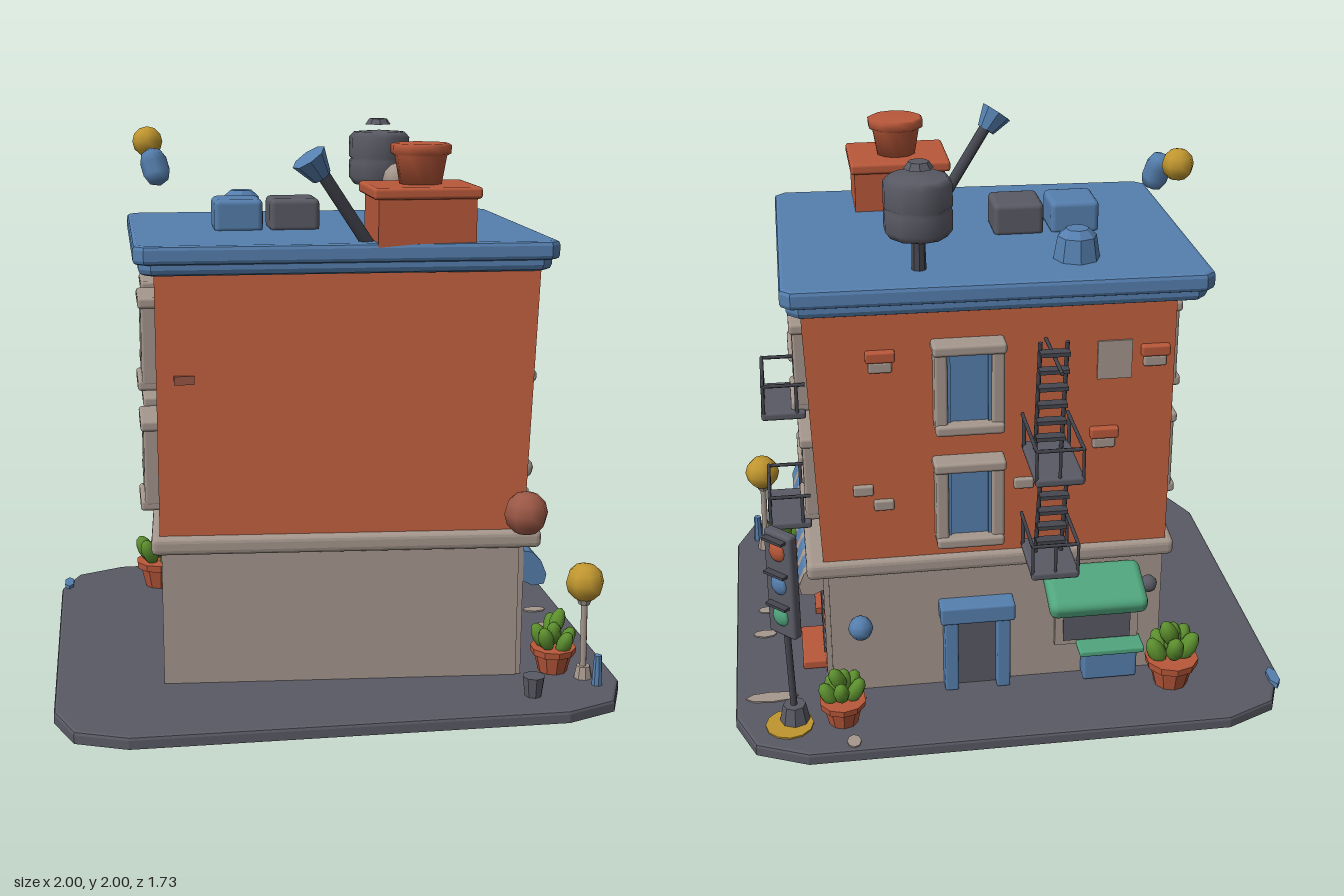
import * as THREE from 'three';
import { RoundedBoxGeometry } from 'three/addons/geometries/RoundedBoxGeometry.js';

const mat = (name, color) => Object.assign(new THREE.MeshStandardMaterial({ color }), { name });
const brick = mat('brick', 0xc4623f), blue = mat('blue', 0x557fae), charcoal = mat('charcoal', 0x5a5a65);
const plaster = mat('plaster', 0xa5978d), iron = mat('iron', 0x45464f), gold = mat('gold', 0xc0962f);
const mint = mat('mint', 0x50a57d), leaf = mat('leaf', 0x5c8f2e), clay = mat('clay', 0xb9583a);
const rust = mat('rust', 0x9c5846);

// Helpers
function add(parent, name, geo, material, x = 0, y = 0, z = 0) {
  const m = new THREE.Mesh(geo, material);
  m.name = name;
  m.position.set(x, y, z);
  parent.add(m);
  return m;
}
function group(parent, name, x = 0, y = 0, z = 0, turn = 0) {
  const g = new THREE.Group();
  g.name = name;
  g.position.set(x, y, z);
  g.rotation.y = turn;
  parent.add(g);
  return g;
}
// Box given by its min and max corners
function box(parent, name, material, [x0, y0, z0], [x1, y1, z1], r = 0) {
  const w = x1 - x0, h = y1 - y0, d = z1 - z0;
  const geo = r ? new RoundedBoxGeometry(w, h, d, 2, r) : new THREE.BoxGeometry(w, h, d);
  return add(parent, name, geo, material, (x0 + x1) / 2, (y0 + y1) / 2, (z0 + z1) / 2);
}
function moveVertices(mesh, rule) {
  const p = mesh.geometry.attributes.position, v = new THREE.Vector3();
  for (let i = 0; i < p.count; i++) {
    rule(v.fromBufferAttribute(p, i));
    p.setXYZ(i, v.x, v.y, v.z);
  }
  mesh.geometry.computeVertexNormals();
}
// The plan is crooked on the model's right: both corners are pulled in
function skewPlan(v) {
  if (v.x < 0 && v.z > 0) v.z -= 0.09;
  else if (v.x < 0) v.x += 0.05;
}
const ball = (r) => new THREE.SphereGeometry(r, 8, 6);
function drum(rt, rb, h, n = 8) {
  const g = new THREE.CylinderGeometry(rt, rb, h, n).toNonIndexed();
  g.computeVertexNormals();
  return g;
}
// Outline with clipped corners
function clip(pts, r) {
  const v = pts.map(([x, z]) => new THREE.Vector2(x, z)), n = v.length;
  return v.flatMap((p, i) => [v[(i + n - 1) % n], v[(i + 1) % n]].map((q) => q.clone().sub(p).setLength(r).add(p).toArray()));
}
// Horizontal slab from an [x, z] outline, bevelled
function slab(parent, name, material, pts, y0, y1, bevel) {
  const shape = new THREE.Shape(pts.map(([x, z]) => new THREE.Vector2(x, -z)));
  const geo = new THREE.ExtrudeGeometry(shape, { depth: y1 - y0 - 2 * bevel, bevelEnabled: true,
    bevelThickness: bevel, bevelSize: bevel, bevelOffset: -bevel, bevelSegments: 2 });
  return add(parent, name, geo.rotateX(-Math.PI / 2), material, 0, y0 + bevel, 0);
}
// Thin rod between two points
function rod(parent, name, material, a, b, r = 0.007, n = 5) {
  const p = new THREE.Vector3(...a), q = new THREE.Vector3(...b), d = q.clone().sub(p);
  const m = add(parent, name, new THREE.CylinderGeometry(r, r, d.length(), n), material);
  m.position.copy(p.add(q).multiplyScalar(0.5));
  m.quaternion.setFromUnitVectors(new THREE.Vector3(0, 1, 0), d.normalize());
}

// Framed window facing local +z
function makeWindow(parent, x, y, z, turn) {
  const g = group(parent, 'window', x, y, z, turn);
  box(g, 'glass', blue, [-0.08, -0.13, -0.05], [0.08, 0.13, 0.012]);
  for (const s of [-1, 1]) {
    add(g, 'jamb', new RoundedBoxGeometry(0.044, 0.29, 0.09, 2, 0.01), plaster, s * 0.097, 0, -0.005);
    add(g, 'sash', new THREE.BoxGeometry(0.012, 0.26, 0.02), blue, s * 0.07, 0, 0.012);
  }
  box(g, 'sill', plaster, [-0.118, -0.165, -0.05], [0.118, -0.125, 0.055], 0.012);
  box(g, 'lintel', plaster, [-0.125, 0.125, -0.05], [0.125, 0.165, 0.05], 0.012);
}
// Platform with railing, facing local +z from the wall at z = 0
function makeBalcony(parent, name, x, y, z, turn, w, depth) {
  const g = group(parent, name, x, y, z, turn), h = w / 2, top = 0.13;
  box(g, 'deck', charcoal, [-h, 0, 0], [h, 0.03, depth], 0.01);
  for (const s of [-1, 1]) {
    rod(g, 'sideRail', iron, [s * h * 0.95, top, 0], [s * h * 0.95, top, depth - 0.01]);
    rod(g, 'wallPost', iron, [s * h * 0.95, 0.01, 0.03], [s * h * 0.95, top, 0.03]);
  }
  for (let i = 0; i < 3; i++) {
    const px = h * 0.95 * (i - 1);
    rod(g, 'post', iron, [px, 0.01, depth - 0.01], [px, top, depth - 0.01], 0.006);
  }
  rod(g, 'frontRail', iron, [-h, top, depth - 0.01], [h, top, depth - 0.01]);
}
function makeLadder(parent, x, y0, z0, y1, z1, steps) {
  const g = group(parent, 'ladder');
  for (const s of [-0.045, 0.045]) rod(g, 'stringer', iron, [x + s, y0, z0], [x + s, y1, z1], 0.008);
  for (let i = 1; i <= steps; i++) {
    const t = i / (steps + 0.5);
    add(g, 'rung', new THREE.BoxGeometry(0.1, 0.014, 0.04), iron, x, y0 + (y1 - y0) * t, z0 + (z1 - z0) * t - 0.02);
  }
}
function makePlant(parent, x, z, s) {
  const g = group(parent, 'pottedPlant', x, 0.055, z);
  g.scale.setScalar(s);
  add(g, 'pot', drum(0.075, 0.055, 0.08, 10), clay, 0, 0.04, 0);
  add(g, 'potRim', drum(0.088, 0.085, 0.025, 10), clay, 0, 0.085, 0);
  for (let i = 0; i < 7; i++) {
    const a = i * 2.4, r = i < 5 ? 0.052 : 0.018;
    const m = add(g, 'leaf', new THREE.SphereGeometry(1, 8, 6), leaf, Math.cos(a) * r, 0.12 + (i % 3) * 0.018 + (i < 5 ? 0 : 0.035), Math.sin(a) * r);
    m.scale.set(0.03, 0.054, 0.03);
    m.rotation.set(Math.sin(a) * 0.45, 0, -Math.cos(a) * 0.45);
  }
}

function makeShell(g) {
  // Pavement with clipped corners, slightly narrower underneath
  const pavement = slab(g, 'pavement', charcoal, [[-1, -0.62], [-0.93, -0.79], [-0.75, -0.87], [0.75, -0.87], [0.93, -0.79], [1, -0.62],
    [1, 0.62], [0.93, 0.79], [0.75, 0.86], [-0.75, 0.86], [-0.93, 0.79], [-1, 0.62]], 0, 0.055, 0.012);
  moveVertices(pavement, (v) => { if (v.y < -0.005) v.set(v.x * 0.975, v.y, v.z * 0.975); });
  moveVertices(box(g, 'groundFloor', plaster, [-0.615, 0.05, -0.51], [0.645, 0.56, 0.525]), skewPlan);
  moveVertices(box(g, 'ledge', plaster, [-0.65, 0.54, -0.535], [0.72, 0.605, 0.555], 0.02), skewPlan);
  // Upper walls lean out slightly towards the street
  moveVertices(box(g, 'upperWalls', brick, [-0.62, 0.59, -0.515], [0.66, 1.55, 0.525]), (v) => {
    if (v.y > 0 && v.x > 0) v.x += 0.035;
    skewPlan(v);
  });
  slab(g, 'corniceLower', blue, clip([[-0.672, -0.55], [0.74, -0.535], [0.735, 0.55], [-0.672, 0.505]], 0.04), 1.525, 1.6, 0.022);
  slab(g, 'corniceUpper', blue, clip([[-0.69, -0.57], [0.76, -0.55], [0.755, 0.57], [-0.69, 0.525]], 0.035), 1.565, 1.63, 0.015);
}

function makeShop(g) {
  const shop = group(g, 'shopFront');
  box(shop, 'counterPanel', gold, [0.635, 0.06, -0.07], [0.66, 0.185, 0.44]);
  box(shop, 'counterStep', clay, [0.64, 0.055, 0.02], [0.69, 0.08, 0.24]);
  box(shop, 'windowSurround', plaster, [0.635, 0.185, -0.07], [0.655, 0.4, 0.46]);
  for (const z of [-0.055, 0.19]) box(shop, 'shopPane', charcoal, [0.65, 0.2, z], [0.662, 0.36, z + 0.235]);
  box(shop, 'doorSurround', brick, [0.635, 0.055, -0.385], [0.664, 0.42, -0.07]);
  box(shop, 'door', charcoal, [0.66, 0.1, -0.32], [0.67, 0.39, -0.145]);
  box(shop, 'doorStep', clay, [0.64, 0.055, -0.36], [0.75, 0.09, -0.115], 0.008);
  for (const z of [-0.49, 0.46]) box(shop, 'pilaster', plaster, [0.625, 0.055, z], [0.664, 0.55, z + 0.06]);
  // Striped awning in alternating slices
  const profile = new THREE.Shape([[0.64, 0.525], [0.695, 0.515], [0.73, 0.48], [0.75, 0.43], [0.742, 0.395], [0.7, 0.39], [0.64, 0.42]]
    .map(([x, y]) => new THREE.Vector2(x, y)));
  for (let i = 0; i < 7; i++) {
    for (const [z, d, m] of [[0.52 - i * 0.1286, 0.0886, blue], [0.4314 - i * 0.1286, 0.04, plaster]]) {
      add(shop, 'awningStripe', new THREE.ExtrudeGeometry(profile, { depth: d, bevelEnabled: false }), m, 0, 0, z - d);
    }
  }
}

function makeFacades(g) {
  for (const y of [0.83, 1.265]) {
    const lean = y > 1 ? 0.685 : 0.67;
    for (const z of [0.24, -0.2]) makeWindow(g, lean, y, z, Math.PI / 2);
    makeWindow(g, -0.605, y, -0.17, -Math.PI / 2);
    makeWindow(g, -0.625, y, 0.21, -Math.PI / 2);
    makeWindow(g, 0.145, y, -0.54, Math.PI);
    makeBalcony(g, 'balcony', 0.69, y - 0.185, -0.205, Math.PI / 2, 0.27, 0.155);
  }
  box(g, 'shutter', iron, [0.665, 0.67, -0.12], [0.7, 0.98, -0.055]);
  // Fire escape
  const escape = group(g, 'fireEscape');
  makeBalcony(escape, 'upperLanding', -0.12, 1.01, -0.53, Math.PI, 0.165, 0.3);
  makeBalcony(escape, 'lowerLanding', -0.12, 0.625, -0.53, Math.PI, 0.165, 0.25);
  makeLadder(escape, -0.12, 1.03, -0.6, 1.46, -0.67, 6);
  makeLadder(escape, -0.12, 0.65, -0.63, 1.02, -0.72, 5);
  rod(escape, 'topRail', iron, [-0.12, 1.41, -0.52], [-0.12, 1.41, -0.82]);
  // Loose bricks and patches on the walls
  for (const [x, y] of [[0.44, 1.36], [-0.5, 1.33], [-0.33, 1.03]]) {
    box(g, 'brickTile', clay, [x - 0.05, y, -0.54], [x + 0.05, y + 0.04, -0.5], 0.008);
    box(g, 'brickTile', plaster, [x - 0.04, y - 0.04, -0.53], [x + 0.04, y, -0.5], 0.008);
  }
  for (const [x, y] of [[0.51, 0.88], [0.44, 0.82], [-0.05, 0.87]])
    box(g, 'wallStone', plaster, [x - 0.035, y - 0.02, -0.53], [x + 0.035, y + 0.02, -0.5], 0.008);
  box(g, 'wallPatch', plaster, [-0.42, 1.25, -0.522], [-0.3, 1.39, -0.513]);
  box(g, 'wallPatch', rust, [-0.56, 1.145, 0.42], [-0.49, 1.175, 0.451]);
  box(g, 'wallPatch', rust, [0.68, 1.3, 0.39], [0.694, 1.34, 0.45]);
  add(g, 'wallStone', ball(0.037), plaster, 0.68, 0.8, 0.42);
  // Back door with blue frame
  const door = group(g, 'backDoor', 0.12, 0.055, -0.51, Math.PI);
  box(door, 'doorLeaf', charcoal, [-0.1, 0, -0.01], [0.1, 0.31, 0.015]);
  for (const s of [-0.12, 0.07]) box(door, 'doorPost', blue, [s, 0, -0.01], [s + 0.05, 0.31, 0.06], 0.008);
  box(door, 'doorHead', blue, [-0.135, 0.29, -0.01], [0.135, 0.36, 0.075], 0.01);
  add(g, 'wallLamp', ball(0.045), blue, 0.54, 0.34, -0.545);
  // Back kiosk under a wide mint awning
  const kiosk = group(g, 'kiosk', -0.3, 0, -0.51, Math.PI);
  box(kiosk, 'kioskFrame', plaster, [-0.13, 0.19, -0.01], [0.18, 0.43, 0.02]);
  box(kiosk, 'kioskPane', charcoal, [-0.1, 0.21, 0], [0.15, 0.41, 0.026]);
  box(kiosk, 'kioskCounter', blue, [-0.03, 0.06, 0], [0.17, 0.18, 0.07], 0.01);
  box(kiosk, 'kioskTop', mint, [-0.05, 0.18, 0], [0.19, 0.205, 0.1], 0.008);
  const canopy = box(kiosk, 'canopy', mint, [-0.18, 0.43, -0.01], [0.175, 0.505, 0.2], 0.03);
  canopy.rotation.x = 0.35;
  add(kiosk, 'canopyBracket', ball(0.032), charcoal, 0.205, 0.445, 0.05);
}

function makeRoof(g) {
  const roof = group(g, 'roofItems');
  box(roof, 'chimneyStack', clay, [0.125, 1.61, 0.27], [0.46, 1.79, 0.55]);
  box(roof, 'chimneyCap', clay, [0.105, 1.775, 0.25], [0.475, 1.815, 0.57], 0.012);
  const pot = [[0, 1.81], [0.072, 1.81], [0.09, 1.91], [0.104, 1.918], [0.106, 1.945], [0.095, 1.952], [0, 1.952]];
  add(roof, 'chimneyPot', new THREE.LatheGeometry(pot.map(([r, y]) => new THREE.Vector2(r, y)), 10), clay, 0.295, 0, 0.4);
  rod(roof, 'ventPipe', iron, [0.11, 1.61, 0.47], [-0.06, 1.86, 0.53], 0.022, 8);
  const funnel = add(roof, 'ventFunnel', drum(0.062, 0.035, 0.08), blue, -0.088, 1.885, 0.545);
  funnel.rotation.set(0.2, 0, 0.6);
  // Water tank
  add(roof, 'tankLeg', drum(0.022, 0.026, 0.15), iron, 0.29, 1.69, -0.38);
  const tank = [[0, 1.745], [0.1, 1.75], [0.118, 1.775], [0.118, 1.84], [0.11, 1.847], [0.118, 1.855], [0.118, 1.93], [0.1, 1.95], [0, 1.957]];
  add(roof, 'tank', new THREE.LatheGeometry(tank.map(([r, y]) => new THREE.Vector2(r, y)), 10), charcoal, 0.29, 0, -0.38);
  add(roof, 'tankKnob', drum(0.035, 0.05, 0.022), charcoal, 0.285, 1.989, -0.38);
  box(roof, 'blueVentBox', blue, [-0.39, 1.62, -0.07], [-0.215, 1.74, 0.11], 0.02);
  box(roof, 'greyVentBox', charcoal, [-0.19, 1.62, -0.07], [-0.01, 1.74, 0.11], 0.02);
  add(roof, 'roofHatch', drum(0.068, 0.083, 0.09), blue, -0.255, 1.665, -0.34);
  add(roof, 'roofHatchTop', drum(0.04, 0.068, 0.025), blue, -0.255, 1.7225, -0.34);
  add(roof, 'paleBall', ball(0.064), plaster, 0.31, 1.79, -0.06);
  add(roof, 'goldBall', ball(0.056), gold, -0.61, 1.925, -0.28);
  const capsule = add(roof, 'blueCapsule', new THREE.CapsuleGeometry(0.049, 0.045, 2, 8), blue, -0.59, 1.845, -0.08);
  capsule.rotation.set(-0.25, 0, 0.25);
}

function makeStreet(g) {
  const st = group(g, 'street');
  add(st, 'rustBall', ball(0.077), rust, 0.62, 0.715, 0.69);
  // Street lamp
  add(st, 'lampBase', drum(0.025, 0.035, 0.05), plaster, 0.88, 0.075, 0.58);
  rod(st, 'lampPost', plaster, [0.88, 0.05, 0.58], [0.875, 0.36, 0.58], 0.012, 8);
  add(st, 'lampCollar', drum(0.03, 0.02, 0.025), plaster, 0.875, 0.345, 0.58);
  add(st, 'lampGlobe', ball(0.07), gold, 0.875, 0.415, 0.578);
  // Traffic light: a slim head turned diagonally to the street corner
  add(st, 'goldDisc', drum(0.085, 0.085, 0.008, 12), gold, 0.81, 0.057, -0.69);
  add(st, 'signalBase', drum(0.04, 0.055, 0.07), charcoal, 0.79, 0.09, -0.665);
  rod(st, 'signalPole', iron, [0.79, 0.06, -0.665], [0.8, 0.45, -0.665], 0.012, 8);
  const head = group(st, 'signalHead', 0.803, 0, -0.663, Math.PI * 0.75);
  box(head, 'signalCase', charcoal, [-0.062, 0.42, -0.02], [0.062, 0.825, 0.02], 0.012);
  for (const [y, m] of [[0.755, clay], [0.625, blue], [0.5, mint]]) {
    add(head, 'signalLight', ball(0.04), m, 0, y, 0.015).scale.z = 0.5;
    box(head, 'signalVisor', iron, [-0.045, y + 0.042, 0.01], [0.045, y + 0.052, 0.045]);
  }
  makePlant(st, 0.79, 0.5, 0.95);
  makePlant(st, 0.62, -0.69, 0.95);
  makePlant(st, -0.59, -0.62, 1.12);
  // Small street pieces
  add(st, 'bucket', drum(0.04, 0.03, 0.075), charcoal, 0.66, 0.09, 0.71);
  add(st, 'bollard', drum(0.014, 0.02, 0.11), blue, 0.91, 0.11, 0.65);
  add(st, 'blueScrap', drum(0.03, 0.03, 0.02, 6), blue, -0.97, 0.058, -0.66).scale.set(0.7, 1, 1.9);
  for (const [x, z, w, d] of [[0.87, -0.52, 0.19, 0.06], [0.89, -0.1, 0.09, 0.05], [0.88, 0.07, 0.07, 0.045],
    [0.59, -0.82, 0.05, 0.07], [0.56, -0.57, 0.06, 0.03]])
    add(st, 'pavingPatch', drum(0.5, 0.5, 0.008, 8), plaster, x, 0.056, z).scale.set(w, 1, d);
}

export function createModel() {
  const model = new THREE.Group();
  model.name = 'cornerBuilding';
  for (const make of [makeShell, makeShop, makeFacades, makeRoof, makeStreet]) make(model);
  return model;
}
